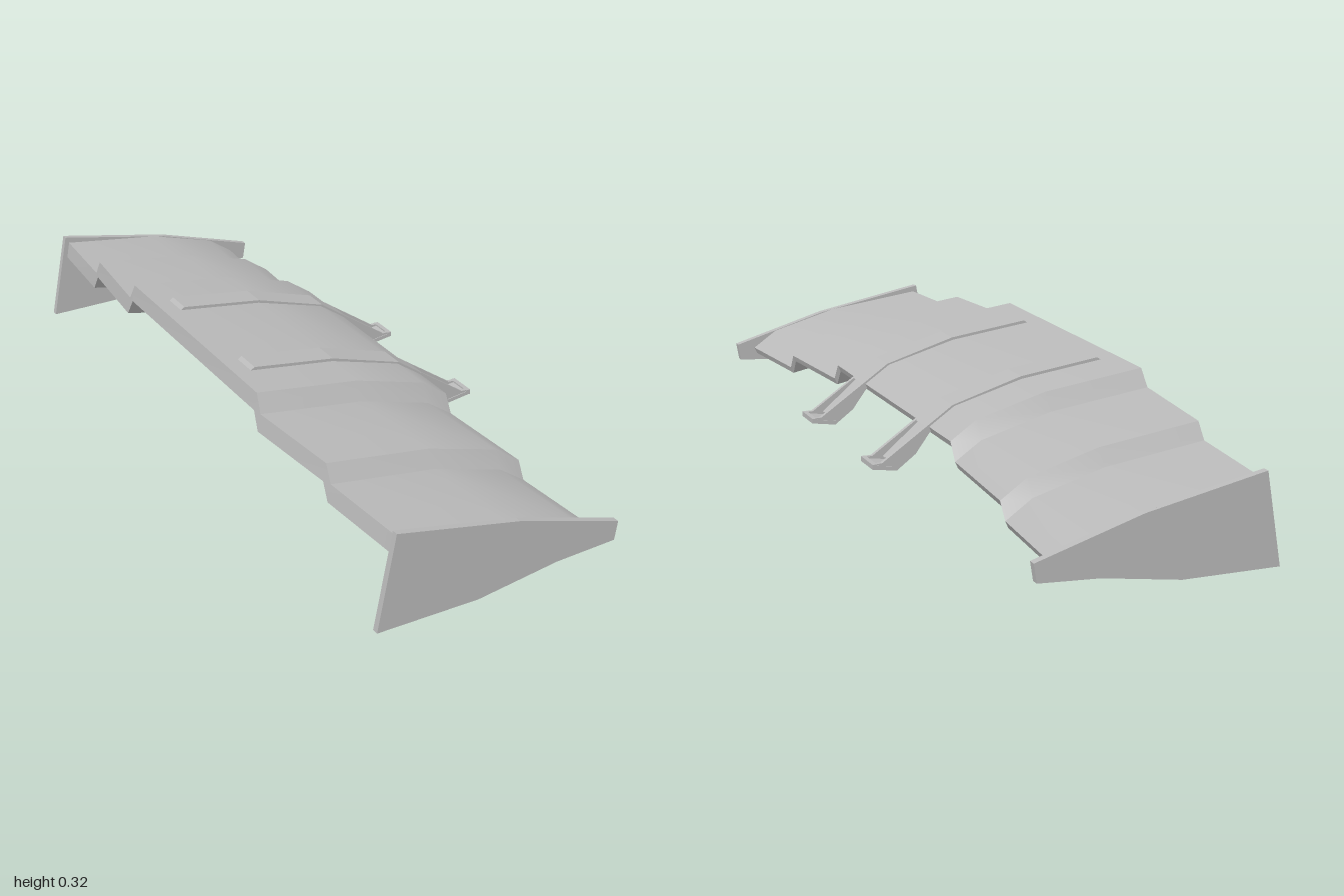
import * as THREE from 'three';
import { toCreasedNormals } from 'three/addons/utils/BufferGeometryUtils.js';

const grey = new THREE.MeshStandardMaterial({ color: 0xbababa });

// Airfoil section in x, y: bottom of the leading edge, over the top, to the bottom of the trailing edge
const LEAD = -0.335, TRAIL = 0.2;
const section = [[-0.343, 0.273], [LEAD, 0.318], [-0.06, 0.289], [0.13, 0.241], [TRAIL, 0.195], [0.192, 0.177]];

// Stations along the span: z, drop, leading x, trailing x
const half = [
  [0.375, 0, -0.337, 0.198],
  [0.402, 0.045, -0.341, 0.198],
  [0.688, 0.049, -0.315, 0.216],
  [0.714, 0.091, -0.317, 0.215],
  [0.99, 0.095, -0.297, 0.236],
];

function add(parent, name, geometry) {
  const mesh = new THREE.Mesh(geometry, grey);
  mesh.name = name;
  parent.add(mesh);
  return mesh;
}

// Side profile extruded along z, centred on z
function plate(points, thickness, z) {
  const shape = new THREE.Shape(points.map(p => new THREE.Vector2(...p)));
  const g = new THREE.ExtrudeGeometry(shape, { depth: thickness, bevelEnabled: false });
  return g.translate(0, 0, z - thickness / 2);
}

// Stepped wing lofted through all stations
function wingGeometry() {
  const stations = [
    ...half.map(([z, ...rest]) => [-z, ...rest]).reverse(),
    ...half,
  ];
  const positions = [], index = [], n = section.length;
  for (const [z, drop, lead, trail] of stations) {
    const scale = (trail - lead) / (TRAIL - LEAD);
    for (const [x, y] of section) positions.push(lead + (x - LEAD) * scale, y - drop, z);
  }
  for (let i = 0; i < stations.length - 1; i++) {
    for (let j = 0; j < n; j++) {
      const k = (j + 1) % n;
      const a = i * n + j, b = i * n + k, c = b + n, d = a + n;
      index.push(a, d, c, a, c, b);
    }
  }
  // close both ends
  const last = (stations.length - 1) * n;
  for (let j = 1; j < n - 1; j++) {
    index.push(0, j, j + 1, last, last + j + 1, last + j);
  }
  const g = new THREE.BufferGeometry();
  g.setAttribute('position', new THREE.Float32BufferAttribute(positions, 3));
  g.setIndex(index);
  return toCreasedNormals(g, 0.5);
}

// Mounting arm: strip over the wing, two side webs, sloped web and drilled foot
function mount(side) {
  const arm = new THREE.Group();
  arm.name = side > 0 ? 'leftMount' : 'rightMount';
  arm.position.z = side * 0.21;

  add(arm, 'topStrip', plate([
    [-0.295, 0.31], [-0.28, 0.32], [-0.06, 0.296], [0.133, 0.244], [0.206, 0.196],
    [0.198, 0.19], [0.13, 0.232], [-0.06, 0.28],
  ], 0.074, 0));

  const web = [
    [0.185, 0.19], [0.2, 0.2], [0.327, 0.117], [0.353, 0.117], [0.353, 0.104],
    [0.287, 0.092], [0.235, 0.129], [0.198, 0.178],
  ];
  for (const s of [-1, 1]) add(arm, 'sideWeb', plate(web, 0.01, s * 0.032));

  add(arm, 'slopedWeb', plate([
    [0.19, 0.187], [0.2, 0.192], [0.298, 0.113], [0.29, 0.105],
  ], 0.06, 0));

  const foot = new THREE.Shape();
  foot.moveTo(-0.033, -0.039).lineTo(0.033, -0.039).lineTo(0.033, 0.039).lineTo(-0.033, 0.039);
  const hole = new THREE.Path();
  hole.absarc(-0.02, 0, 0.008, 0, Math.PI * 2, true);
  foot.holes.push(hole);
  const g = new THREE.ExtrudeGeometry(foot, { depth: 0.01, bevelEnabled: false, curveSegments: 12 });
  g.rotateX(-Math.PI / 2).rotateZ(0.18).translate(0.32, 0.099, 0);
  add(arm, 'foot', g);
  add(arm, 'footLip', new THREE.BoxGeometry(0.012, 0.013, 0.078).translate(0.347, 0.1105, 0));
  return arm;
}

export function createModel() {
  const model = new THREE.Group();
  model.name = 'rearWing';
  add(model, 'wing', wingGeometry());

  const outline = [
    [-0.353, 0], [-0.09, 0.012], [0.12, 0.052], [0.28, 0.067],
    [0.288, 0.115], [0.012, 0.188], [-0.308, 0.241],
  ];
  for (const side of [-1, 1]) {
    add(model, side > 0 ? 'leftEndPlate' : 'rightEndPlate', plate(outline, 0.018, side * 0.991));
    model.add(mount(side));
  }
  return model;
}
